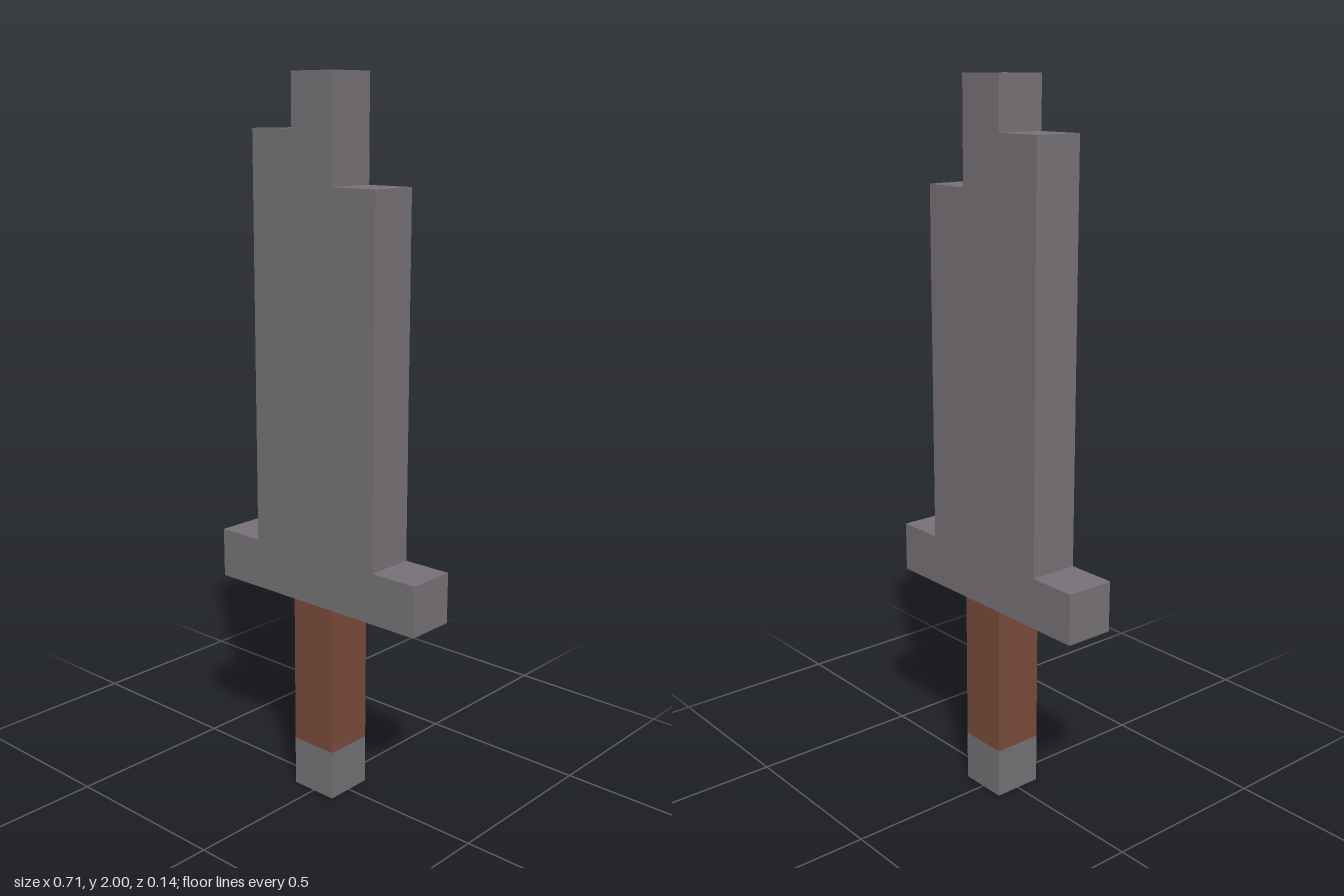
import * as THREE from 'three';

const U = 1 / 7; // one block of the design

const steel = new THREE.MeshStandardMaterial({ color: 0x767176 });
steel.name = 'steel grey';
const pommelGrey = new THREE.MeshStandardMaterial({ color: 0x727174 });
pommelGrey.name = 'pommel grey';
const leather = new THREE.MeshStandardMaterial({ color: 0x784a3a });
leather.name = 'leather brown';

// Square one-block-wide post between two heights, in blocks
function post(name, bottom, top, material) {
  const mesh = new THREE.Mesh(new THREE.BoxGeometry(U, (top - bottom) * U, U), material);
  mesh.position.y = ((bottom + top) / 2) * U;
  mesh.name = name;
  return mesh;
}

export function createModel() {
  const sword = new THREE.Group();
  sword.name = 'sword';

  // Handle
  sword.add(post('pommel', 0, 1, pommelGrey));
  sword.add(post('grip', 1, 4, leather));

  // Crossguard and stepped blade as one outline, in blocks
  const outline = [
    [-2.5, 4], [2.5, 4], [2.5, 5], [1.5, 5], [1.5, 12], [0.5, 12], [0.5, 14],
    [-0.5, 14], [-0.5, 13], [-1.5, 13], [-1.5, 5], [-2.5, 5],
  ].map(([x, y]) => new THREE.Vector2(x * U, y * U));
  const geometry = new THREE.ExtrudeGeometry(new THREE.Shape(outline), { depth: U, bevelEnabled: false });
  geometry.translate(0, 0, -U / 2);
  const blade = new THREE.Mesh(geometry, steel);
  blade.name = 'bladeAndGuard';
  sword.add(blade);

  return sword;
}
